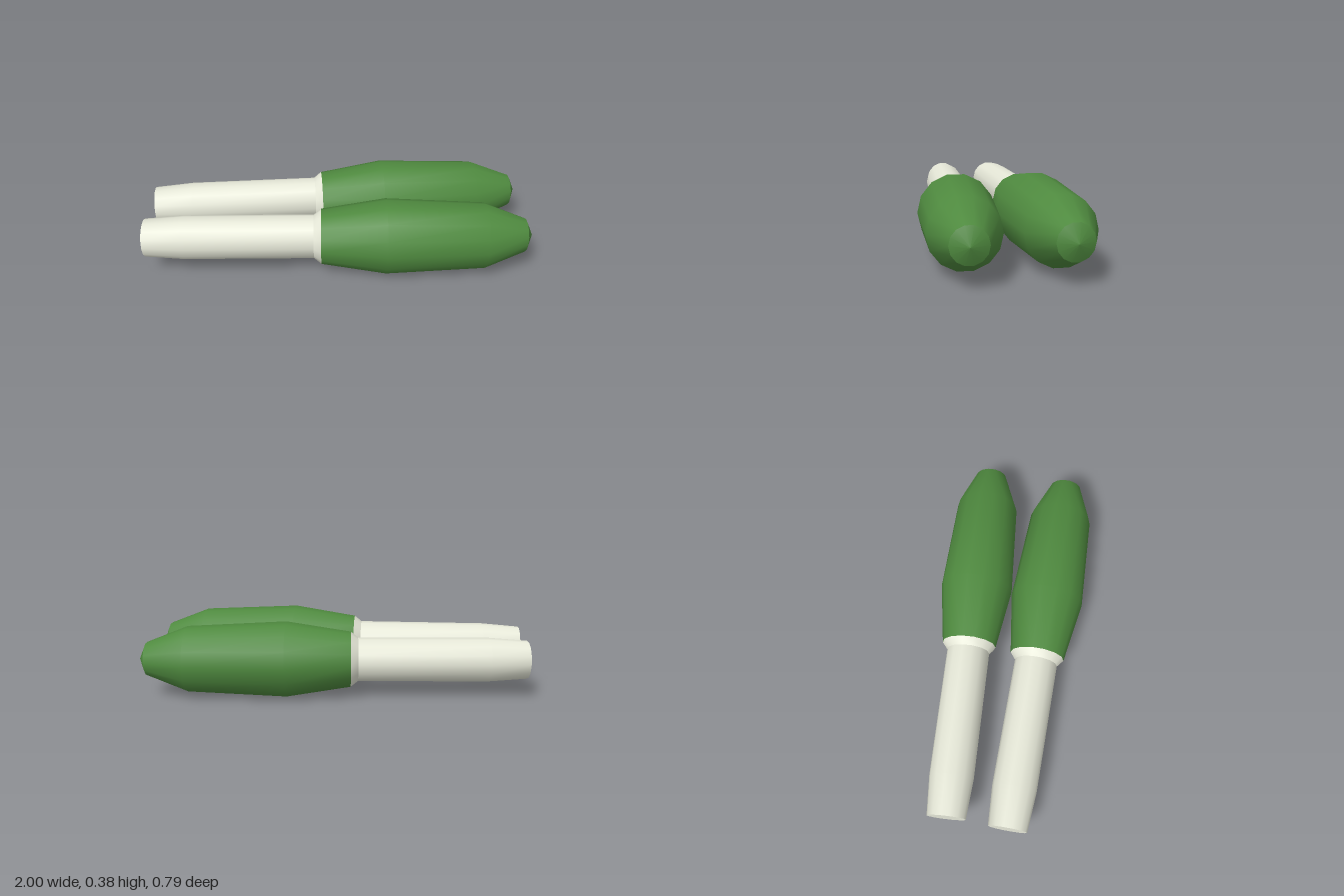
import * as THREE from 'three';
import { toCreasedNormals } from 'three/addons/utils/BufferGeometryUtils.js';

const SIDES = 14;
const CREASE = 0.6;

// Turned part along x; profile is a list of [x, radius] from -x to +x
function turned(name, profile, color) {
  const points = profile.map(([x, r]) => new THREE.Vector2(r, x));
  const lathe = new THREE.LatheGeometry(points, SIDES).rotateZ(-Math.PI / 2);
  const mesh = new THREE.Mesh(
    toCreasedNormals(lathe, CREASE),
    new THREE.MeshStandardMaterial({ color })
  );
  mesh.name = name;
  return mesh;
}

function createStalk(name) {
  const stalk = new THREE.Group();
  stalk.name = name;
  // Pale stem with a closed end and a small flared collar
  stalk.add(turned('stem', [
    [-1, 0], [-1, 0.098], [-0.8, 0.113], [-0.13, 0.113], [-0.092, 0.143],
  ], 0xe6e8d8));
  // Green swollen head with a blunt conical tip
  stalk.add(turned('head', [
    [-0.092, 0.143], [0.24, 0.195], [0.75, 0.17], [0.962, 0.0865], [1, 0],
  ], 0x4f8a3f));
  return stalk;
}

export function createModel() {
  const model = new THREE.Group();
  model.name = 'stalkPair';

  const front = createStalk('frontStalk');
  front.position.set(0, 0.192, 0.203);

  // The rear one is turned slightly away
  const rear = createStalk('rearStalk');
  rear.position.set(0, 0.192, -0.173);
  rear.rotation.y = 0.068;

  model.add(front, rear);
  return model;
}
